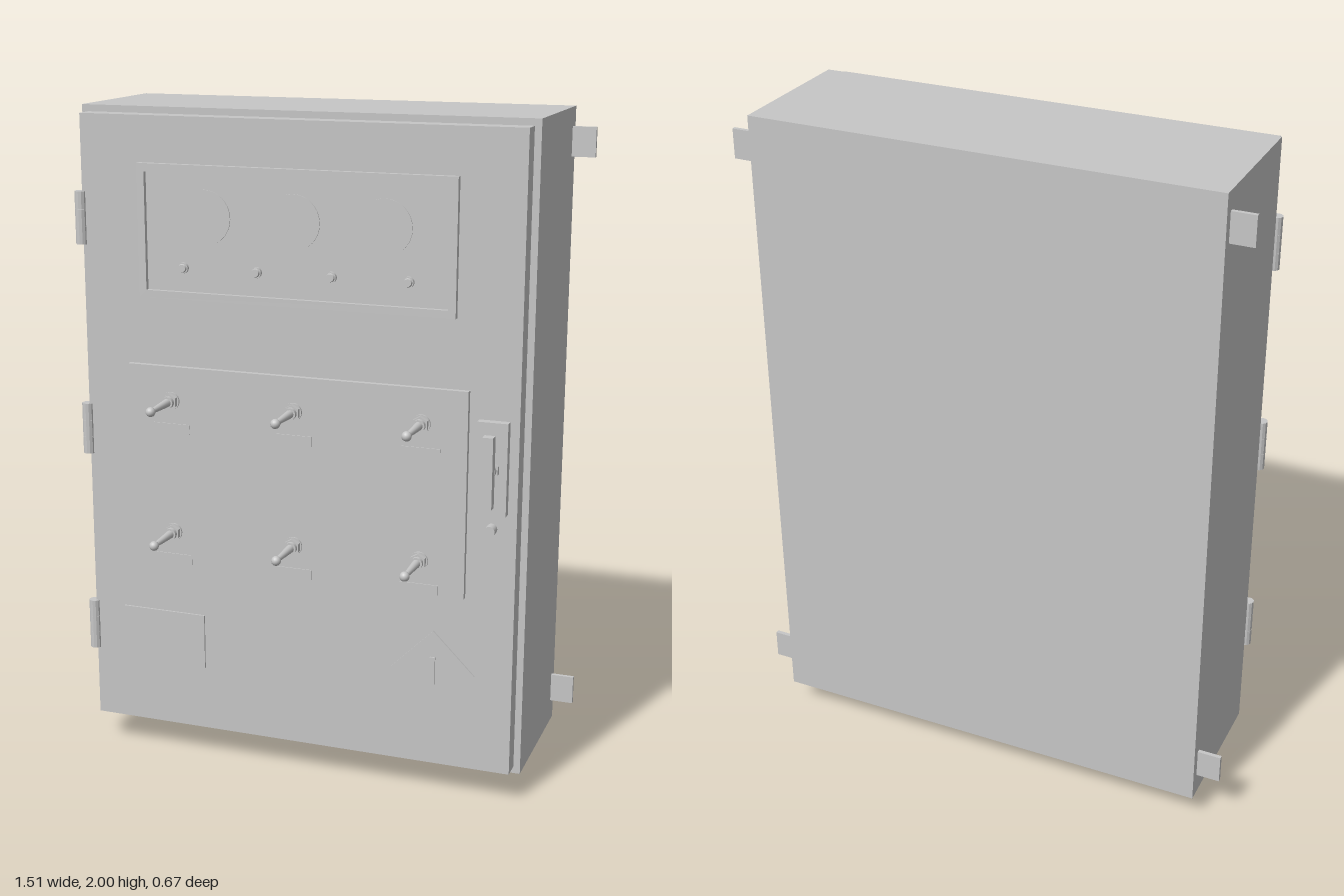
import * as THREE from 'three';

const grey = new THREE.MeshStandardMaterial({ color: 0xc6c6c6 });
grey.name = 'cabinet grey';

export function createModel() {
  const root = new THREE.Group();
  root.name = 'controlCabinet';

  const add = (name, geo, parent = root) => {
    const m = new THREE.Mesh(geo, grey);
    m.name = name;
    parent.add(m);
    return m;
  };
  // Box given by its limits on each axis
  const box = (name, x0, x1, y0, y1, z0, z1, parent) => {
    const m = add(name, new THREE.BoxGeometry(x1 - x0, y1 - y0, z1 - z0), parent);
    m.position.set((x0 + x1) / 2, (y0 + y1) / 2, (z0 + z1) / 2);
    return m;
  };
  // Cylinder along y, faceted when it has few sides
  const cylinder = (rTop, rBottom, h, sides) => {
    const g = new THREE.CylinderGeometry(rTop, rBottom, h, sides);
    if (sides > 12) return g;
    const flat = g.toNonIndexed();
    flat.computeVertexNormals();
    return flat;
  };
  // Cylinder pointing forward, from z0 to z1
  const rod = (name, x, y, z0, z1, r0, r1 = r0, sides = 20, parent) => {
    const m = add(name, cylinder(r1, r0, z1 - z0, sides).rotateX(Math.PI / 2), parent);
    m.position.set(x, y, (z0 + z1) / 2);
    return m;
  };

  // Housing and door
  box('housing', -0.687, 0.687, 0.078, 2, -0.337, 0.103);
  box('door', -0.667, 0.667, 0.099, 1.98, 0.103, 0.161);

  // Wall mounting tabs
  for (const y of [0.148, 1.857]) {
    box('leftMountingTab', 0.687, 0.757, y, y + 0.087, -0.31, -0.298);
    box('rightMountingTab', -0.757, -0.687, y, y + 0.087, -0.31, -0.298);
  }

  // Hinges: three knuckles on one pin
  for (const y of [0.397, 1.033, 1.675]) {
    const hinge = new THREE.Group();
    hinge.name = 'hinge';
    hinge.position.set(-0.674, y, 0.157);
    root.add(hinge);
    for (const k of [-1, 0, 1]) {
      add('knuckle', cylinder(0.018, 0.018, 0.052, 12), hinge).position.y = k * 0.0525;
    }
    add('pin', cylinder(0.014, 0.014, 0.15, 16), hinge);
  }

  // Instrument window: frame around a recessed panel
  const corners = (x0, x1, y0, y1) =>
    [[x0, y0], [x1, y0], [x1, y1], [x0, y1]].map(p => new THREE.Vector2(...p));
  const frame = new THREE.Shape(corners(-0.48, 0.48, 1.453, 1.845));
  frame.holes.push(new THREE.Path(corners(-0.458, 0.457, 1.476, 1.821)));
  add('instrumentFrame', new THREE.ExtrudeGeometry(frame, { depth: 0.018, bevelEnabled: false }))
    .position.z = 0.161;
  box('instrumentPanel', -0.458, 0.457, 1.476, 1.821, 0.161, 0.165);

  // Gauges and indicator lamps
  for (const x of [-0.275, -0.003, 0.269]) {
    rod('gauge', x, 1.695, 0.165, 0.168, 0.08, 0.08, 40);
  }
  for (const x of [-0.343, -0.115, 0.112, 0.34]) {
    rod('lampBase', x, 1.546, 0.165, 0.175, 0.016);
    rod('lampLens', x, 1.546, 0.175, 0.181, 0.013, 0.011);
  }

  // Switch panel with toggles and label plates
  box('switchPanel', -0.525, 0.522, 0.635, 1.25, 0.161, 0.178);
  for (const y of [0.738, 1.147]) {
    for (const x of [-0.387, 0, 0.387]) {
      const toggle = new THREE.Group();
      toggle.name = 'toggleSwitch';
      root.add(toggle);
      rod('washer', x, y, 0.178, 0.184, 0.027, 0.027, 24, toggle);
      rod('nut', x, y, 0.184, 0.198, 0.025, 0.025, 6, toggle);
      rod('collar', x, y, 0.198, 0.21, 0.018, 0.018, 20, toggle);
      rod('lever', x, y, 0.2, 0.322, 0.013, 0.007, 16, toggle);
      add('leverTip', new THREE.SphereGeometry(0.0145, 16, 12), toggle).position.set(x, y, 0.322);
      box('switchLabel', x - 0.058, x + 0.058, y - 0.1, y - 0.07, 0.178, 0.181);
    }
  }

  // Door handle and key lock
  box('handlePlate', 0.55, 0.64, 0.899, 1.17, 0.161, 0.187);
  rod('handleNut', 0.595, 1.035, 0.187, 0.2, 0.025, 0.025, 6);
  rod('handleShaft', 0.595, 1.035, 0.2, 0.215, 0.018);
  box('handleLever', 0.579, 0.611, 0.932, 1.14, 0.212, 0.24);
  rod('keyLock', 0.595, 0.852, 0.161, 0.192, 0.016);

  // Rating plate and diamond warning sign
  box('ratingPlate', -0.568, -0.298, 0.3, 0.472, 0.161, 0.167);
  rod('warningSign', 0.43, 0.395, 0.161, 0.167, 0.126, 0.126, 4);
  box('warningMark', 0.422, 0.438, 0.35, 0.44, 0.167, 0.172);

  // Cable glands under the housing
  for (const x of [-0.274, -0.001, 0.272]) {
    const gland = new THREE.Group();
    gland.name = 'cableGland';
    gland.position.set(x, 0, -0.115);
    root.add(gland);
    add('glandBody', cylinder(0.039, 0.039, 0.074, 12), gland).position.y = 0.037;
    add('glandFlange', cylinder(0.042, 0.042, 0.006, 24), gland).position.y = 0.075;
  }

  return root;
}
